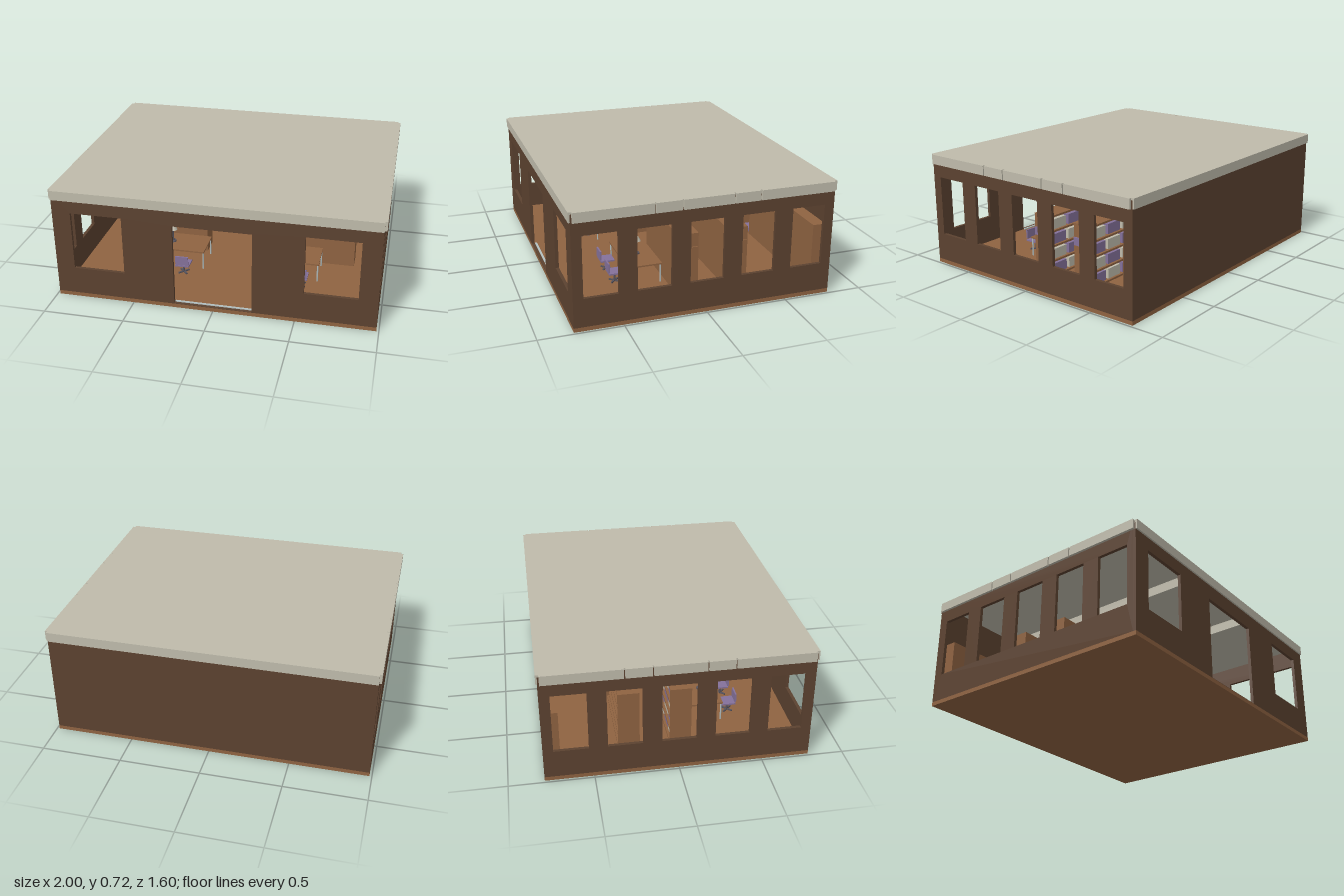
import * as THREE from 'three';

export function createModel() {
  const root = new THREE.Group();
  const mat = (name, color, side = THREE.FrontSide) => {
    const m = new THREE.MeshStandardMaterial({ color, side });
    m.name = name;
    return m;
  };
  const wall = mat('dark brown', 0x5c4230);
  const wood = mat('wood', 0x8f6341);
  const beige = mat('beige', 0xbfbbab);
  const purple = mat('purple', 0x84719a);
  const metal = mat('grey metal', 0x55525c);
  const pale = mat('pale metal', 0xb4c0c0);

  const add = (name, geo, m, parent = root) => {
    const mesh = new THREE.Mesh(geo, m);
    mesh.name = name;
    parent.add(mesh);
    return mesh;
  };
  // Box given by its minimum and maximum corners
  const box = (name, m, x0, x1, y0, y1, z0, z1, parent = root) => {
    const b = add(name, new THREE.BoxGeometry(x1 - x0, y1 - y0, z1 - z0), m, parent);
    b.position.set((x0 + x1) / 2, (y0 + y1) / 2, (z0 + z1) / 2);
    return b;
  };
  const rect = (P, x0, x1, y0, y1) => {
    const p = new P();
    p.moveTo(x0, y0);
    p.lineTo(x1, y0);
    p.lineTo(x1, y1);
    p.lineTo(x0, y1);
    p.closePath();
    return p;
  };
  const T = 0.02, W = 0.985, D = 0.79, F = 0.025;
  // Wall slab with rectangular openings
  const wallSlab = (name, half, holes) => {
    const s = rect(THREE.Shape, -half, half, F, 0.705);
    holes.forEach(h => s.holes.push(rect(THREE.Path, ...h)));
    return add(name, new THREE.ExtrudeGeometry(s, { depth: T, bevelEnabled: false }), wall);
  };

  // Floor and walls
  box('floor', wood, -W, W, 0, F, -D, D);
  wallSlab('frontWall', W, [
    [-0.24, 0.24, F + 0.002, 0.557], [-0.87, -0.55, 0.2, 0.575], [0.55, 0.87, 0.2, 0.575],
  ]).position.z = D - T;
  wallSlab('backWall', W, []).position.z = -D;
  const sideHoles = [-0.628, -0.315, 0, 0.315, 0.628].map(z => [z - 0.102, z + 0.102, 0.2, 0.575]);
  for (const s of [-1, 1]) {
    const w = wallSlab('sideWall', D - T, sideHoles);
    w.rotation.y = Math.PI / 2;
    w.position.x = s > 0 ? W - T : -W;
  }

  // Roof, fascia boards and ceiling beams
  box('roof', beige, -W, W, 0.7, 0.717, -D, D);
  for (const s of [-1, 1]) {
    box('fascia', beige, -W, W, 0.657, 0.717, s > 0 ? D : -0.8, s > 0 ? 0.8 : -D);
    const cuts = [-0.785, -0.315, -0.155, 0.155, 0.315, 0.785];
    for (let i = 0; i < 5; i++) {
      box('sideFascia', beige, s > 0 ? W : -1, s > 0 ? 1 : -W, 0.657, 0.717, cuts[i] + 0.004, cuts[i + 1] - 0.004);
    }
    box('ceilingBeam', beige, s * 0.33 - 0.03, s * 0.33 + 0.03, 0.64, 0.7, -D + T, D - T);
  }

  // Door threshold
  box('threshold', pale, -0.24, 0.24, F, 0.031, 0.755, 0.768);

  // Cabinets along the back wall and the shelves between them
  for (const s of [-1, 1]) {
    box('backCabinet', wood, s > 0 ? 0.06 : -0.94, s > 0 ? 0.94 : -0.06, F, 0.433, -D + T, -0.69);
  }
  box('lowShelf', purple, -0.06, 0.06, F, 0.055, -D + T, -0.7);
  box('upperShelf', purple, -0.06, 0.06, 0.197, 0.205, -D + T, -0.7);

  // Free-standing bookcases, open towards the back
  const bookcase = (x, z) => {
    const g = new THREE.Group();
    g.name = 'bookcase';
    g.position.set(x, 0, z);
    const L = 0.295, d = 0.065, t = 0.012;
    box('panel', wood, -L, L, F, 0.415, d - t, d, g);
    for (const s of [-1, 1]) {
      box('endPanel', wood, s > 0 ? L - t : -L, s > 0 ? L : t - L, F, 0.415, -d, d - t, g);
    }
    for (let i = 0; i < 5; i++) {
      const y = F + i * 0.0945;
      box('shelf', wood, t - L, L - t, y, y + t, -d, d - t, g);
      if (i < 4) {
        for (let j = 0; j < 4; j++) {
          const x0 = -0.27 + j * 0.138;
          box('bookRow', (i + j) % 2 ? purple : beige, x0, x0 + 0.115, y + t, y + 0.075, -d + 0.015, d - t, g);
        }
      }
    }
    box('purplePlate', purple, L, L + 0.008, 0.28, 0.33, 0.012, 0.06, g);
    box('woodPlate', wood, L, L + 0.008, 0.28, 0.33, -0.06, -0.014, g);
    root.add(g);
  };
  for (const x of [-0.495, 0.495]) for (const z of [0.045, -0.27]) bookcase(x, z);

  // Office chair
  const chair = (x, z) => {
    const g = new THREE.Group();
    g.name = 'chair';
    g.position.set(x, F, z);
    box('seat', purple, -0.045, 0.045, 0.06, 0.07, -0.045, 0.045, g);
    box('backrest', purple, -0.042, 0.042, 0.075, 0.135, 0.04, 0.05, g);
    add('stem', new THREE.CylinderGeometry(0.006, 0.006, 0.06, 8), metal, g).position.y = 0.03;
    for (let i = 0; i < 2; i++) {
      const foot = box('foot', metal, -0.04, 0.04, 0, 0.008, -0.005, 0.005, g);
      foot.rotation.y = Math.PI / 4 + i * Math.PI / 2;
    }
    root.add(g);
  };

  // Desks with legs, a lamp and two chairs each
  for (const s of [-1, 1]) {
    const g = new THREE.Group();
    g.name = 'desk';
    g.position.set(s * 0.375, 0, 0.245);
    box('deskTop', wood, -0.21, 0.21, 0.142, 0.152, -0.11, 0.11, g);
    for (const lx of [-1, 1]) for (const lz of [-1, 1]) {
      const leg = add('deskLeg', new THREE.CylinderGeometry(0.005, 0.005, 0.117, 8), pale, g);
      leg.position.set(lx * 0.203, F + 0.0585, lz * 0.1);
    }
    const lamp = new THREE.Group();
    lamp.name = 'lamp';
    lamp.position.set(s * 0.025, 0.152, 0);
    add('lampBase', new THREE.CylinderGeometry(0.02, 0.022, 0.008, 16), metal, lamp).position.y = 0.004;
    add('lampStem', new THREE.CylinderGeometry(0.006, 0.006, 0.09, 8), metal, lamp).position.y = 0.05;
    add('lampShade', new THREE.CylinderGeometry(0.016, 0.03, 0.025, 16), beige, lamp).position.y = 0.1;
    g.add(lamp);
    root.add(g);
    chair(s * 0.285, 0.41);
    chair(s * 0.48, 0.41);
  }
  return root;
}
